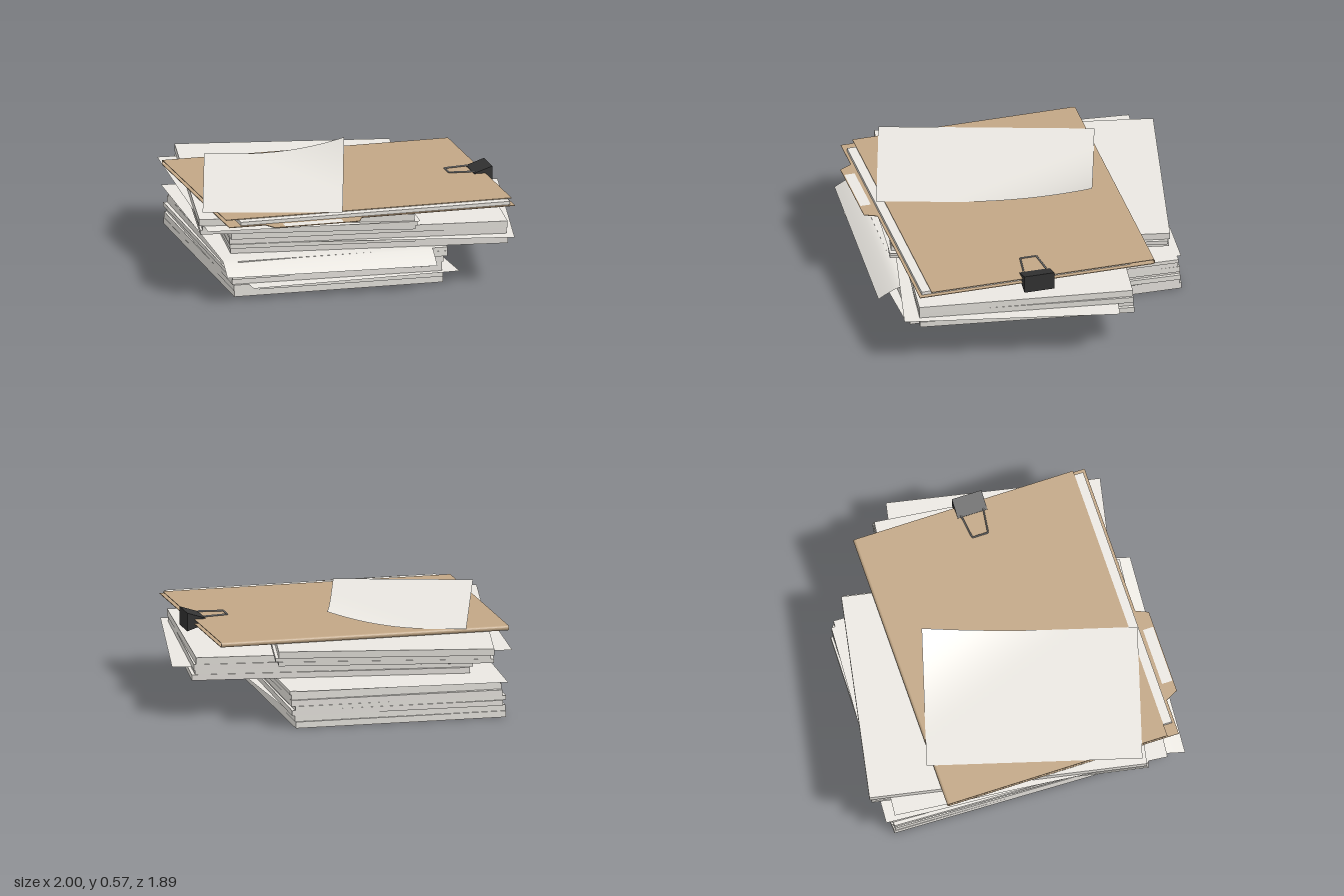
import * as THREE from 'three';

const W = 1.25, L = 1.62; // paper format

const mat = (color, side = THREE.FrontSide) => new THREE.MeshStandardMaterial({ color, side });

export function createModel() {
  const model = new THREE.Group();
  const paper = mat(0xebe8e2, THREE.DoubleSide);
  const card = mat(0xc2a786);
  const black = mat(0x333333);
  const steel = mat(0x999999);

  const add = (parent, name, geo, material, x = 0, y = 0, z = 0, turn = 0) => {
    const mesh = new THREE.Mesh(geo, material);
    mesh.name = name;
    mesh.position.set(x, y, z);
    mesh.rotation.y = turn;
    parent.add(mesh);
  };

  // Paper bundle: top and four sides, open underneath
  const bundle = (w, t, d) => {
    const geo = new THREE.BoxGeometry(w, t, d);
    geo.setIndex([...geo.index.array].filter((_, i) => i < 18 || i >= 24));
    geo.clearGroups();
    return geo;
  };

  // A pile of slightly turned paper bundles: [thickness, x, z, turn]
  const pile = (name, y, w, d, bundles) => {
    const group = new THREE.Group();
    group.name = name;
    for (const [t, x, z, turn] of bundles) {
      add(group, 'paperBundle', bundle(w, t, d), paper, x, y + t / 2, z, turn);
      y += t;
    }
    model.add(group);
  };
  pile('bottomPile', 0, W, L, [
    [0.037, -0.225, -0.035, 0.04],
    [0.035, -0.225, -0.025, 0.036],
    [0.031, -0.22, -0.035, 0.022],
    [0.024, -0.23, -0.03, 0.034],
    [0.036, -0.215, -0.03, 0.024],
    [0.031, -0.205, -0.01, 0.038],
    [0.022, -0.2, -0.015, 0.034],
  ]);
  pile('middlePile', 0.217, L, W, [
    [0.034, 0.05, 0.085, -0.076],
    [0.025, 0.035, 0.095, -0.066],
    [0.035, 0.04, 0.09, -0.072],
    [0.04, 0.035, 0.105, -0.056],
  ]);
  pile('upperPile', 0.351, W, L, [
    [0.024, -0.27, -0.05, -0.125],
    [0.023, -0.255, -0.045, -0.128],
    [0.04, -0.272, -0.06, -0.128],
  ]);

  // Thin sheet whose height follows a rule lift(x, z)
  const sheet = (w, d, segW = 1, segD = 1, lift = () => 0) => {
    const geo = new THREE.PlaneGeometry(w, d, segW, segD).rotateX(-Math.PI / 2);
    const p = geo.attributes.position;
    for (let i = 0; i < p.count; i++) p.setY(i, lift(p.getX(i), p.getZ(i)));
    geo.computeVertexNormals();
    return geo;
  };

  // Loose sheets slipped between the bundles
  add(model, 'looseSheetLower', sheet(W, L), paper, -0.175, 0.0725, 0.04, 0.09);
  add(model, 'looseSheetMiddle', sheet(L, W), paper, 0.113, 0.2765, 0.137, -0.137);
  add(model, 'looseSheetUpper', sheet(W, L), paper, -0.32, 0.3985, 0.005, -0.034);

  // Sheet drooping over the front of the bottom pile
  const droop = (x, z) => -0.068 * Math.pow(Math.max(0, z - 0.765) / 0.13, 1.25);
  add(model, 'droopingSheet', sheet(1.245, 1.79, 1, 60, droop), paper, -0.2625, 0.2175, 0.027);

  // Folder, folded at the back
  const folder = new THREE.Group();
  folder.name = 'folder';
  folder.position.set(-0.053, 0, 0.125);
  folder.rotation.y = 0.064;
  model.add(folder);

  const fold = new THREE.Shape();
  fold.moveTo(0.71, 0.44);
  fold.lineTo(0.71, 0.444);
  fold.lineTo(-0.687, 0.444);
  fold.absarc(-0.687, 0.455, 0.011, -Math.PI / 2, Math.PI / 2, true);
  fold.lineTo(0.64, 0.466);
  fold.lineTo(0.64, 0.47);
  fold.lineTo(-0.687, 0.47);
  fold.absarc(-0.687, 0.455, 0.015, Math.PI / 2, Math.PI * 1.5, false);
  const foldGeo = new THREE.ExtrudeGeometry(fold, { depth: 1.72, bevelEnabled: false, curveSegments: 10 });
  add(folder, 'folderCover', foldGeo.rotateY(-Math.PI / 2).translate(0.86, 0, 0), card);
  add(folder, 'folderPapers', bundle(L, 0.02, W), paper, 0.025, 0.455, 0.068);

  // Index tab with a blank label
  const tab = new THREE.Shape([
    [-0.645, -0.705], [-0.06, -0.705], [-0.095, -0.783], [-0.605, -0.783],
  ].map(([x, y]) => new THREE.Vector2(x, y)));
  const tabGeo = new THREE.ExtrudeGeometry(tab, { depth: 0.004, bevelEnabled: false });
  add(folder, 'folderTab', tabGeo.rotateX(-Math.PI / 2), card, 0, 0.44, 0);
  add(folder, 'tabLabel', sheet(0.35, 0.062), paper, -0.365, 0.4455, 0.746);

  // Top sheet with its back right corner curling up
  const sw = 0.81, sd = 1.25;
  const curl = (x, z) => {
    const t = Math.max(0, 1 - (sw / 2 - x) / 0.62 - (z + sd / 2) / 0.85);
    return 0.1 * Math.pow(t, 2.1);
  };
  add(model, 'curledTopSheet', sheet(sw, sd, 24, 36, curl), paper, -0.437, 0.474, 0.123, -0.223);

  // Clip gripping the right edge of the folder
  const clip = new THREE.Group();
  clip.name = 'binderClip';
  clip.position.set(0.793, 0.455, 0.075);
  clip.rotation.y = 0.06;
  model.add(clip);

  const wedge = new THREE.Shape([
    [0.055, -0.054], [0.055, 0.054], [-0.055, 0.018], [-0.055, -0.018],
  ].map(([x, y]) => new THREE.Vector2(x, y)));
  const wedgeGeo = new THREE.ExtrudeGeometry(wedge, { depth: 0.18, bevelEnabled: false });
  add(clip, 'clipBody', wedgeGeo.translate(0, 0, -0.09), black);

  const wire = new THREE.CurvePath();
  const pts = [[-0.045, -0.068], [-0.195, -0.048], [-0.195, 0.048], [-0.045, 0.068]]
    .map(([x, z]) => new THREE.Vector3(x, 0.024, z));
  for (let i = 0; i < 3; i++) wire.add(new THREE.LineCurve3(pts[i], pts[i + 1]));
  add(clip, 'clipHandle', new THREE.TubeGeometry(wire, 60, 0.005, 6), steel);

  return model;
}
